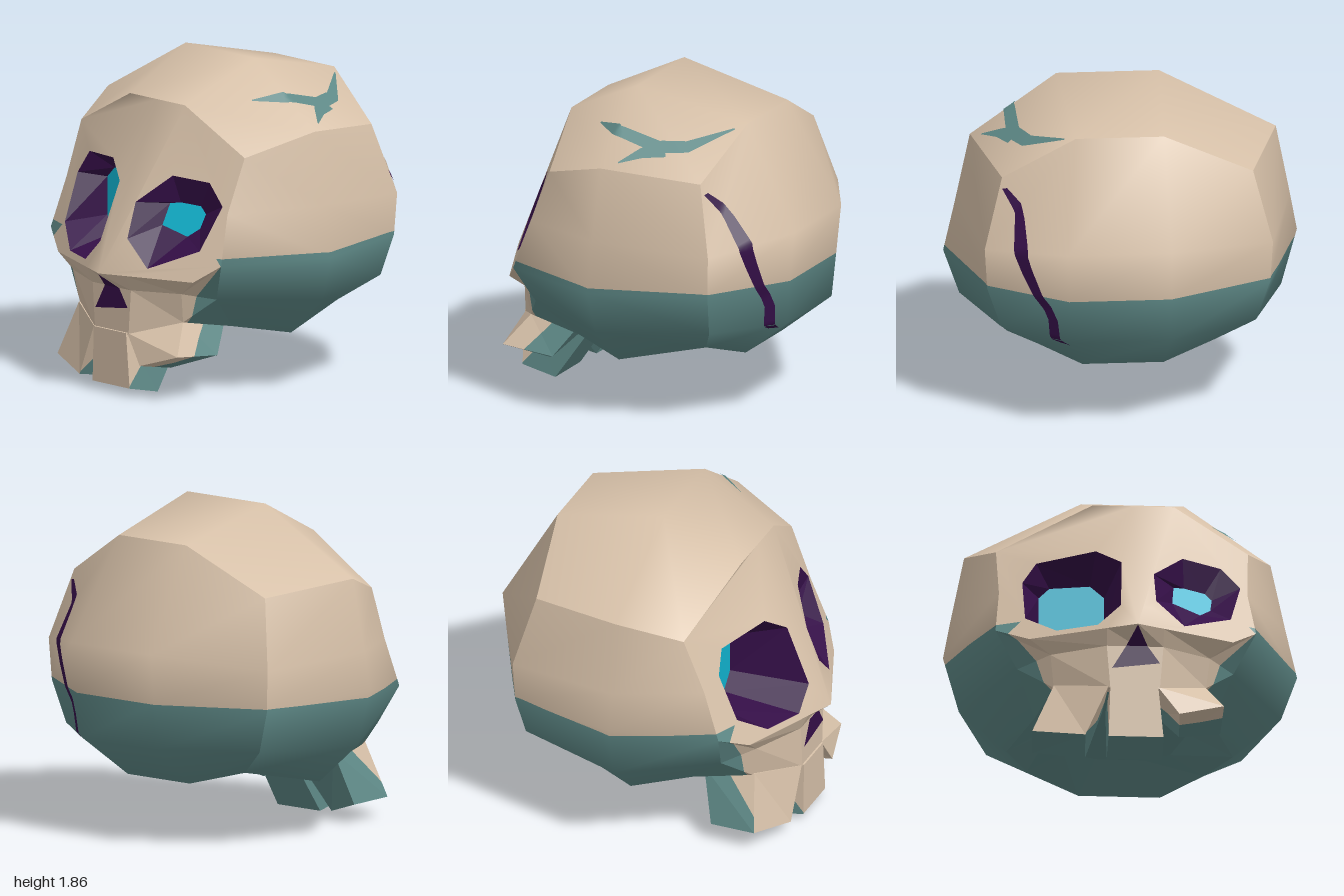
import * as THREE from 'three';
import { mergeVertices, mergeGeometries } from 'three/addons/utils/BufferGeometryUtils.js';

const paint = (name, color) => Object.assign(new THREE.MeshStandardMaterial({ color }), { name });
const V = (p) => new THREE.Vector3(...p);
const CENTRE = [0, 0.9, 0];

// Surface from points and triangles, every face turned away from (or towards) a centre.
function surface(points, tris, { centre = CENTRE, inward = false, flat = false } = {}) {
  const c = V(centre), index = [];
  for (const [i, j, k] of tris) {
    const a = V(points[i]), b = V(points[j]), d = V(points[k]);
    const n = b.clone().sub(a).cross(d.clone().sub(a));
    const out = n.dot(a.clone().add(b).add(d).divideScalar(3).sub(c)) > 0;
    index.push(...(out !== inward ? [i, j, k] : [i, k, j]));
  }
  let g = new THREE.BufferGeometry();
  g.setAttribute('position', new THREE.Float32BufferAttribute(points.flat(), 3));
  g.setIndex(index);
  g = flat ? g.toNonIndexed() : mergeVertices(g, 1e-4);
  g.computeVertexNormals();
  return flat ? g : g.toNonIndexed();
}

// Skin over equal rows of points.
function patch(rows, options) {
  const w = rows[0].length, tris = [];
  for (let r = 0; r < rows.length - 1; r++) for (let c = 0; c < w - 1; c++) {
    const i = r * w + c;
    tris.push([i, i + 1, i + w + 1], [i, i + w + 1, i + w]);
  }
  return surface(rows.flat(), tris, options);
}

// Cuts a geometry by a signed function, returning the [positive, negative] sides.
function cut(g, side) {
  const P = g.attributes.position, N = g.attributes.normal;
  const out = [1, -1].map((s) => {
    const pos = [], nor = [];
    for (let t = 0; t < P.count; t += 3) {
      const tri = [0, 1, 2].map((k) => ({
        p: new THREE.Vector3().fromBufferAttribute(P, t + k), n: new THREE.Vector3().fromBufferAttribute(N, t + k) }));
      const poly = [];
      tri.forEach((a, k) => {
        const b = tri[(k + 1) % 3], da = s * side(a.p), db = s * side(b.p);
        if (da >= 0) poly.push(a);
        if (da * db < 0) {
          const f = da / (da - db);
          poly.push({ p: a.p.clone().lerp(b.p, f), n: a.n.clone().lerp(b.n, f).normalize() });
        }
      });
      for (let k = 1; k < poly.length - 1; k++) for (const v of [poly[0], poly[k], poly[k + 1]]) {
        pos.push(...v.p.toArray()); nor.push(...v.n.toArray());
      }
    }
    const h = new THREE.BufferGeometry();
    h.setAttribute('position', new THREE.Float32BufferAttribute(pos, 3));
    h.setAttribute('normal', new THREE.Float32BufferAttribute(nor, 3));
    return h;
  });
  return out;
}

// Depth of the face: leans forward to the nose bridge and falls back to both sides.
const faceZ = (x, y) => 0.5 + 0.48 * (1.64 - y)
  - 0.4 * Math.max(0, Math.abs(x - 0.05) - 0.23 * Math.max(0, (y - 0.7) / 0.94));
const onFace = ([x, y]) => [x, y, faceZ(x, y)];

export function createModel() {
  const model = new THREE.Group();
  model.name = 'skull';
  const bone = paint('bone', 0xd6c0a8), teal = paint('teal', 0x5f8a88);
  const purple = paint('darkPurple', 0x350f48), cyan = paint('cyan', 0x10b4d0);
  const add = (name, g, m) => {
    if (!g.attributes.position.count) return null;
    const mesh = new THREE.Mesh(g, m);
    mesh.name = name;
    model.add(mesh);
    return mesh;
  };
  // Bone above and in front, teal below and behind.
  const addSplit = (name, g) => {
    const [high, low] = cut(g, (p) => p.y - 0.84);
    const [front, back] = cut(low, (p) => p.z - 0.64);
    add(name, mergeGeometries([high, front]), bone);
    add(name + 'Lower', back, teal);
  };

  // Cranium side columns, from top to bottom: front edge, middle, back edge
  const sideColumns = (s) => {
    const L = s < 0;
    return [
      [onFace([L ? -0.72 : 0.7, 1.39]), onFace([L ? -0.71 : 0.69, 1.08]), onFace([s * 0.735, 0.8]),
        [s * 0.61, 0.58, 0.56], [s * 0.5, 0.38, 0.34]],
      [[L ? -0.88 : 0.85, 1.51, 0.03], [L ? -0.96 : 0.935, 1.1, 0.04], [s, L ? 0.88 : 0.81, 0.04],
        [s * 0.91, 0.555, 0.03], [s * 0.64, 0.32, 0.02]],
      [[s * 0.71, 1.455, -0.53], [s * 0.815, 1.06, -0.63], [s * 0.8, 0.82, -0.62],
        [s * 0.72, 0.58, -0.59], [s * 0.5, 0.42, -0.46]],
    ];
  };
  const right = sideColumns(-1), left = sideColumns(1);
  addSplit('rightSide', patch(right));
  addSplit('leftSide', patch(left));

  // Crown and back
  const row = (x0, x1, y, z) => [[x0, y, z], [x1, y, z]];
  const crown = patch([
    [right[0][0], ...row(-0.18, 0.28, 1.64, 0.5), left[0][0]],
    [right[1][0], ...row(-0.22, 0.36, 1.86, 0.04), left[1][0]],
    [right[2][0], ...row(-0.2, 0.3, 1.71, -0.62), left[2][0]],
  ]);
  addSplit('crown', crown);
  const backMid = [row(-0.2, 0.3, 1.71, -0.62), row(-0.22, 0.37, 1.13, -0.95), row(-0.22, 0.36, 0.85, -0.92),
    row(-0.22, 0.34, 0.58, -0.89), row(-0.2, 0.26, 0.34, -0.59)];
  const back = patch(backMid.map((m, i) => [right[2][i], ...m, left[2][i]]));
  addSplit('back', back);

  // Face in two halves, each with an eye hole
  const eyes = [
    { name: 'right', depth: () => 0.4,
      rim: [[-0.58, 1.13], [-0.5, 1.26], [-0.17, 1.29], [-0.03, 1.19], [-0.04, 0.86], [-0.17, 0.735], [-0.4, 0.735], [-0.57, 0.86]],
      glow: [[-0.48, 1.1], [-0.42, 1.16], [-0.19, 1.18], [-0.11, 1.11], [-0.11, 0.88], [-0.2, 0.79], [-0.42, 0.79], [-0.48, 0.88]] },
    { name: 'left', depth: (x, y) => faceZ(x, y) - 0.11,
      rim: [[0.15, 1.1], [0.32, 1.26], [0.54, 1.24], [0.65, 1.12], [0.59, 0.87], [0.32, 0.75], [0.16, 0.9]],
      glow: [[0.27, 1.09], [0.33, 1.1], [0.45, 1.09], [0.49, 1.05], [0.48, 0.97], [0.42, 0.92], [0.26, 0.97]] },
  ];
  const xy = (p) => new THREE.Vector2(p[0], p[1]);
  const facePoints = [], faceTris = [];
  [right, left].forEach((cols, h) => {
    const outline = [[0.05, 1.64], h ? [0.28, 1.64] : [-0.18, 1.64], cols[0][0], cols[0][1], cols[0][2],
      [h ? 0.6 : -0.55, 0.7], [h ? 0.2 : -0.12, 0.7], [0.05, 0.7]];
    const base = facePoints.length;
    for (const t of THREE.ShapeUtils.triangulateShape(outline.map(xy), [eyes[h].rim.map(xy)])) {
      faceTris.push(t.map((i) => i + base));
    }
    facePoints.push(...[...outline, ...eyes[h].rim].map(onFace));
  });
  addSplit('face', surface(facePoints, faceTris, { centre: [0, 0.5, -3] }));

  // Eye sockets and glowing eyes
  for (const { name, rim, glow, depth } of eyes) {
    const outer = rim.map(onFace), inner = glow.map(([x, y]) => [x, y, depth(x, y)]);
    const middle = [0, 1, 2].map((k) => [...outer, ...inner].reduce((s, p) => s + p[k], 0) / (2 * rim.length));
    add(name + 'Socket', patch([[...outer, outer[0]], [...inner, inner[0]]],
      { centre: middle, inward: true, flat: true }), purple);
    add(name + 'EyeGlow', surface(inner, THREE.ShapeUtils.triangulateShape(glow.map(xy), []),
      { centre: [0, 1, -3], flat: true }), cyan);
  }

  // Upper jaw under the overhanging face
  const brow = [[-0.55, 0.7], [-0.12, 0.7], [0.05, 0.7], [0.2, 0.7], [0.6, 0.7]].map(onFace);
  const jawTop = [[-0.43, 0.61, 0.7], [-0.12, 0.61, 0.84], [0.05, 0.61, 0.84], [0.2, 0.61, 0.84], [0.47, 0.61, 0.7]];
  const jawLow = [[-0.41, 0.42, 0.67], [-0.1, 0.35, 0.84], [0.05, 0.35, 0.84], [0.18, 0.35, 0.84], [0.45, 0.44, 0.67]];
  addSplit('upperJaw', patch([brow, jawTop, jawLow], { flat: true }));
  [right, left].forEach((cols, h) => {
    const e = h * 4;
    addSplit(h ? 'leftCheek' : 'rightCheek',
      patch([cols[0].slice(2), [brow[e], jawTop[e], jawLow[e]]], { flat: true }));
  });

  // Nose opening
  add('nose', surface([[0.05, 0.695, 0.952], [-0.01, 0.61, 0.847], [0.11, 0.61, 0.847], [-0.09, 0.47, 0.847], [0.18, 0.505, 0.847]],
    [[0, 1, 2], [1, 3, 4], [1, 4, 2]], { flat: true }), purple);

  // Hollowed underside
  const rim = [...jawLow, left[0][4], left[1][4], left[2][4], backMid[4][1], backMid[4][0], right[2][4], right[1][4], right[0][4]];
  const hollow = rim.map(([x, y, z]) => [x * 0.6, 0.46, z * 0.6]);
  addSplit('underside', patch([[...rim, rim[0]], [...hollow, hollow[0]]], { flat: true }));
  addSplit('hollow', surface([...hollow, [0, 0.48, 0]], hollow.map((_, i) => [i, (i + 1) % hollow.length, hollow.length]), { flat: true }));

  // Teeth: front corners then back corners, each from top left round to bottom left
  const teeth = {
    rightTooth: [[[-0.41, 0.43, 0.68], [-0.11, 0.36, 0.84], [-0.24, 0.06, 0.83], [-0.535, 0.12, 0.73]],
      [[-0.43, 0.42, 0.38], [-0.12, 0.42, 0.35], [-0.23, 0.02, 0.6], [-0.52, 0.11, 0.46]]],
    middleTooth: [[[-0.1, 0.36, 0.85], [0.17, 0.36, 0.85], [0.2, 0.045, 0.85], [-0.11, 0.045, 0.85]],
      [[-0.1, 0.42, 0.35], [0.17, 0.42, 0.35], [0.205, 0, 0.64], [-0.11, 0, 0.64]]],
    leftTooth: [[[0.17, 0.36, 0.84], [0.45, 0.44, 0.67], [0.545, 0.27, 0.8], [0.29, 0.19, 0.855]],
      [[0.17, 0.42, 0.35], [0.46, 0.42, 0.36], [0.54, 0.24, 0.49], [0.3, 0.15, 0.63]]],
  };
  for (const [name, [f, b]] of Object.entries(teeth)) {
    const centre = [0, 1, 2].map((k) => [...f, ...b].reduce((s, p) => s + p[k] / 8, 0));
    const quad = [[0, 1, 2], [0, 2, 3]];
    const shell = mergeGeometries([surface(b, quad, { centre, flat: true }),
      patch([[...f, f[0]], [...b, b[0]]], { centre, flat: true })]);
    const [fore, aft] = cut(shell, (p) => p.z + 0.9 * p.y - 0.9);
    add(name, mergeGeometries([surface(f, quad, { centre, flat: true }), fore]), bone);
    add(name + 'Back', aft, teal);
  }

  // Cracks: tapering ribbons [u, v, half width] laid onto a surface along one direction
  const crack = (name, path, target, origin, dir, material) => {
    const ray = new THREE.Raycaster(), d = V(dir);
    const mesh = new THREE.Mesh(target, new THREE.MeshBasicMaterial({ side: THREE.DoubleSide }));
    const rows = [], steps = 8;
    for (let i = 0; i < path.length - 1; i++) for (let k = i ? 1 : 0; k <= steps; k++) {
      const [u, v, w] = path[i].map((a, q) => a + (path[i + 1][q] - a) * k / steps);
      const p = path[Math.max(0, k === 0 ? i - 1 : i)], q = path[k === steps ? Math.min(i + 2, path.length - 1) : i + 1];
      const l = Math.hypot(q[0] - p[0], q[1] - p[1]);
      const line = [-1, 0, 1].map((s) => {
        ray.set(V(origin(u - s * w * (q[1] - p[1]) / l, v + s * w * (q[0] - p[0]) / l)), d);
        const hit = ray.intersectObject(mesh)[0];
        return hit && hit.point.addScaledVector(d, -0.008).toArray();
      });
      if (line.every(Boolean)) rows.push(line);
    }
    if (rows.length > 1) add(name, patch(rows), material);
  };
  const above = (x, z) => [x, 3, z], beside = (z, y) => [3, y, z];
  crack('crownCrack', [[0.36, -0.57, 0.004], [0.56, -0.37, 0.032], [0.625, -0.22, 0.035], [0.63, 0.03, 0.03], [0.51, 0.2, 0.003]],
    crown, above, [0, -1, 0], teal);
  crack('crownCrackBranch', [[0.62, -0.26, 0.045], [0.69, -0.15, 0.028], [0.79, -0.05, 0.003]], crown, above, [0, -1, 0], teal);
  crack('backCrack', [[-0.56, 1.4, 0.006], [-0.67, 1.25, 0.018], [-0.77, 1.1, 0.026], [-0.81, 0.85, 0.018], [-0.835, 0.7, 0.02], [-0.82, 0.53, 0.022]],
    back, beside, [-1, 0, 0], purple);
  return model;
}
